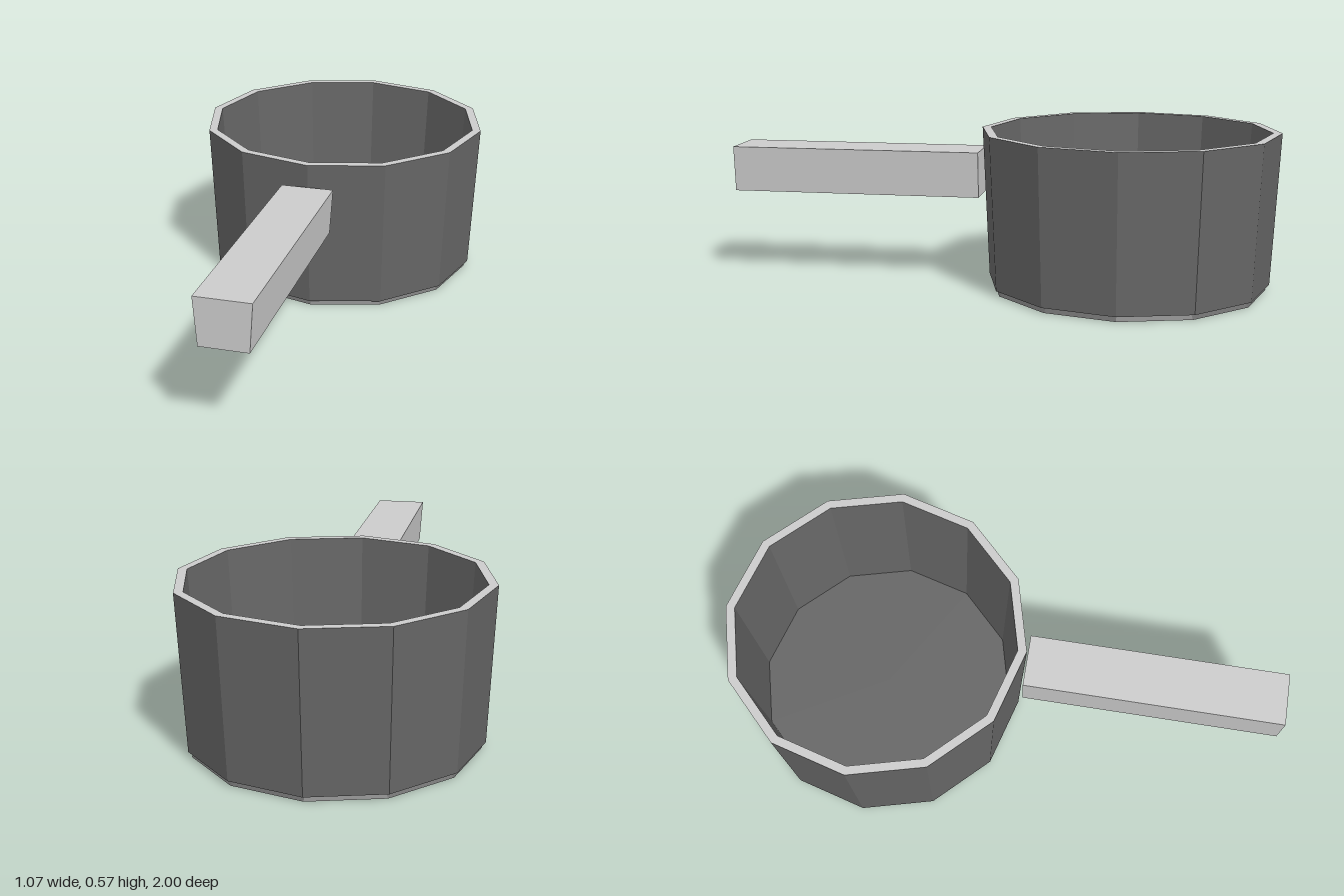
import * as THREE from 'three';

const SIDES = 12;
const PAN_Z = -0.463;

export function createModel() {
  const model = new THREE.Group();
  model.name = 'saucepan';
  const dark = new THREE.MeshStandardMaterial({ color: 0x666666, flatShading: true });
  const grey = new THREE.MeshStandardMaterial({ color: 0xcccccc, flatShading: true });

  const add = (name, geometry, material, z) => {
    const mesh = new THREE.Mesh(geometry, material);
    mesh.name = name;
    mesh.position.z = z;
    model.add(mesh);
  };
  // Twelve-sided turned part from [radius, height] pairs
  const turned = (name, points, material) =>
    add(name, new THREE.LatheGeometry(points.map(([r, y]) => new THREE.Vector2(r, y)), SIDES), material, PAN_Z);

  // Pan: flared foot, tapering wall, rim and hollow inside
  turned('foot', [[0, 0], [0.5, 0], [0.482, 0.02], [0.512, 0.02]], dark);
  turned('outerWall', [[0.512, 0.02], [0.537, 0.57]], dark);
  turned('rim', [[0.537, 0.57], [0.505, 0.57]], grey);
  turned('innerWall', [[0.505, 0.57], [0.475, 0.04]], dark);
  turned('floor', [[0.475, 0.04], [0, 0.04]], dark);

  // Handle: straight bar, slightly narrower underneath
  const section = new THREE.Shape([
    new THREE.Vector2(-0.083, 0.32),
    new THREE.Vector2(0.083, 0.32),
    new THREE.Vector2(0.095, 0.487),
    new THREE.Vector2(-0.095, 0.487),
  ]);
  add('handle', new THREE.ExtrudeGeometry(section, { depth: 0.925, bevelEnabled: false }), grey, 0.075);

  return model;
}
